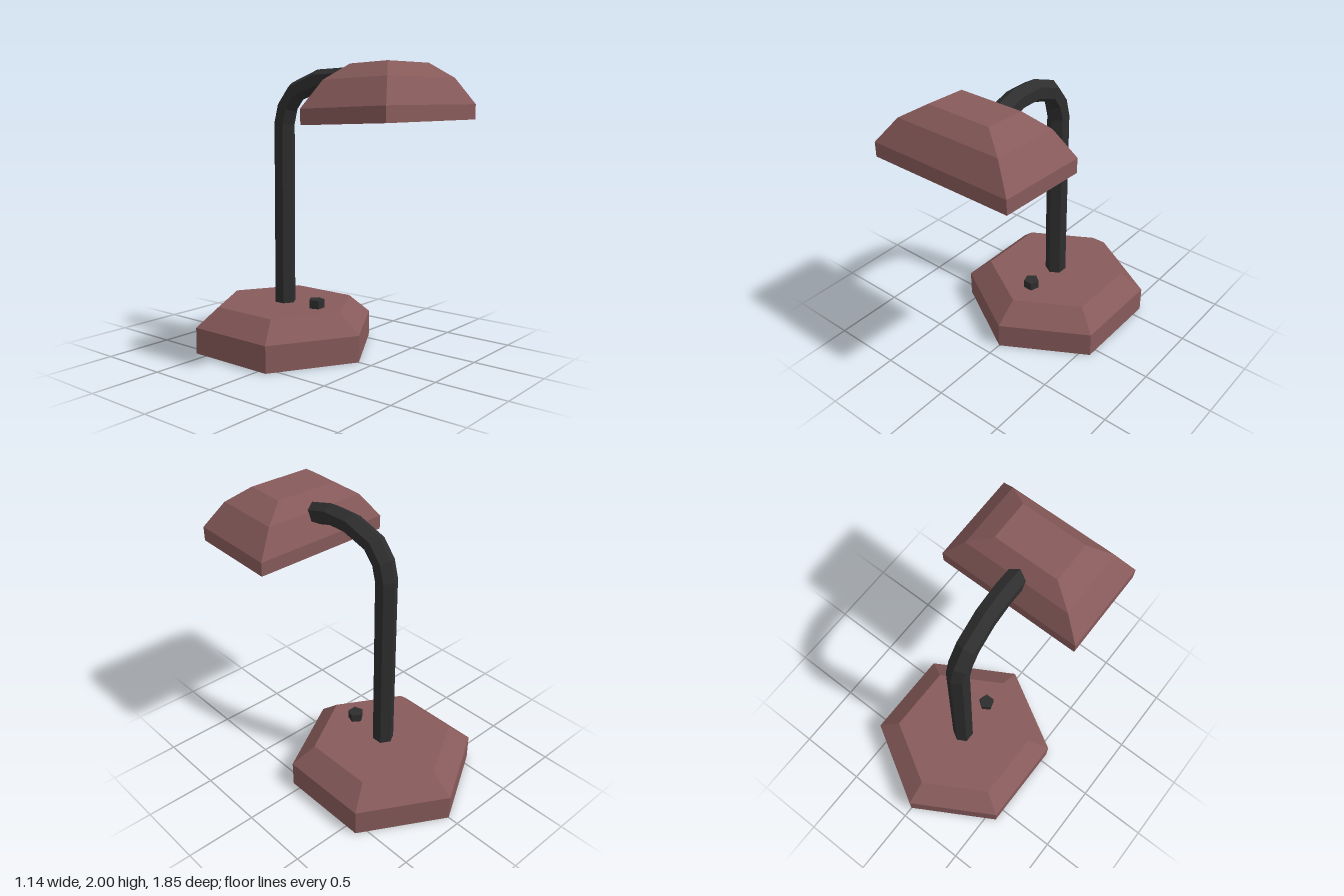
import * as THREE from 'three';

// Faceted skin over equal-sized rings, listed bottom to top, anticlockwise seen from above
function loft(rings, capTop = false, capBottom = false) {
  const pos = [];
  const tri = (...pts) => pts.forEach((p) => pos.push(p.x, p.y, p.z));
  const n = rings[0].length;
  for (let k = 0; k < rings.length - 1; k++) {
    const lo = rings[k], hi = rings[k + 1];
    for (let i = 0; i < n; i++) {
      const j = (i + 1) % n;
      tri(lo[i], lo[j], hi[j]);
      tri(lo[i], hi[j], hi[i]);
    }
  }
  const top = rings[rings.length - 1], bottom = rings[0];
  for (let i = 1; i < n - 1; i++) {
    if (capTop) tri(top[0], top[i], top[i + 1]);
    if (capBottom) tri(bottom[0], bottom[i + 1], bottom[i]);
  }
  const geo = new THREE.BufferGeometry();
  geo.setAttribute('position', new THREE.Float32BufferAttribute(pos, 3));
  geo.computeVertexNormals();
  return geo;
}

// Six-sided ring around centre, with its first corner along the given direction
function hexRing(centre, radius, forward) {
  const side = new THREE.Vector3(1, 0, 0);
  return Array.from({ length: 6 }, (_, i) => {
    const a = (i * Math.PI) / 3;
    return centre.clone()
      .addScaledVector(forward, radius * Math.cos(a))
      .addScaledVector(side, radius * Math.sin(a));
  });
}

// Four-sided ring from half width and the front and back edges
function rectRing([halfWidth, zFront, yFront, zBack, yBack]) {
  const cx = 0.042;
  return [
    new THREE.Vector3(cx - halfWidth, yFront, zFront),
    new THREE.Vector3(cx + halfWidth, yFront, zFront),
    new THREE.Vector3(cx + halfWidth, yBack, zBack),
    new THREE.Vector3(cx - halfWidth, yBack, zBack),
  ];
}

export function createModel() {
  const group = new THREE.Group();
  const material = (name, color, side = THREE.FrontSide) => {
    const m = new THREE.MeshStandardMaterial({ color, side });
    m.name = name;
    return m;
  };
  const brown = material('dusty brown', 0x875a5a, THREE.DoubleSide);
  const black = material('black', 0x2e2e2e);
  const grey = material('grey', 0x969696, THREE.DoubleSide);
  const add = (name, geo, mat) => {
    const mesh = new THREE.Mesh(geo, mat);
    mesh.name = name;
    group.add(mesh);
    return mesh;
  };

  // Hollow hexagonal base, open underneath
  const zAxis = new THREE.Vector3(0, 0, 1);
  const baseRings = [[0.66, 0], [0.66, 0.185], [0.498, 0.32]]
    .map(([r, y]) => hexRing(new THREE.Vector3(0, y, -0.262), r, zAxis));
  add('base', loft(baseRings, true), brown);

  // Pentagonal switch button
  const button = new THREE.CylinderGeometry(0.056, 0.056, 0.065, 5).toNonIndexed();
  button.rotateY(Math.PI);
  button.computeVertexNormals();
  add('switchButton', button, black).position.set(0, 0.3475, 0.025);

  // Upright pole bending forward into the shade
  const path = [
    [0, 0.3, -0.265], [0, 1.6, -0.265], [0, 1.715, -0.235], [0.005, 1.82, -0.155],
    [0.02, 1.893, 0.035], [0.03, 1.9, 0.215], [0.04, 1.86, 0.375], [0.042, 1.84, 0.44],
  ].map((p) => new THREE.Vector3(...p));
  const armRings = path.map((p, i) => {
    const before = path[Math.max(i - 1, 0)], after = path[Math.min(i + 1, path.length - 1)];
    const t = new THREE.Vector3();
    if (i > 0) t.add(p.clone().sub(before).normalize());
    if (i < path.length - 1) t.add(after.clone().sub(p).normalize());
    t.x = 0;
    t.normalize();
    return hexRing(p, 0.075, new THREE.Vector3(0, -t.z, t.y));
  });
  add('arm', loft(armRings, true, true), black);

  // Rectangular shade with a short rim and two sloped tiers, tipped slightly back
  const shadeRings = [
    [0.518, 0.925, 1.635, 0.29, 1.61],
    [0.518, 0.925, 1.735, 0.286, 1.71],
    [0.387, 0.84, 1.905, 0.36, 1.887],
    [0.233, 0.735, 2.0, 0.453, 1.988],
  ].map(rectRing);
  add('shade', loft(shadeRings, true), brown);

  // Light panel recessed inside the rim
  const panel = rectRing([0.516, 0.923, 1.715, 0.29, 1.69]);
  add('lightPanel', loft([panel, panel.map((p) => p.clone().setY(p.y + 0.005))], true, true), grey);

  return group;
}
